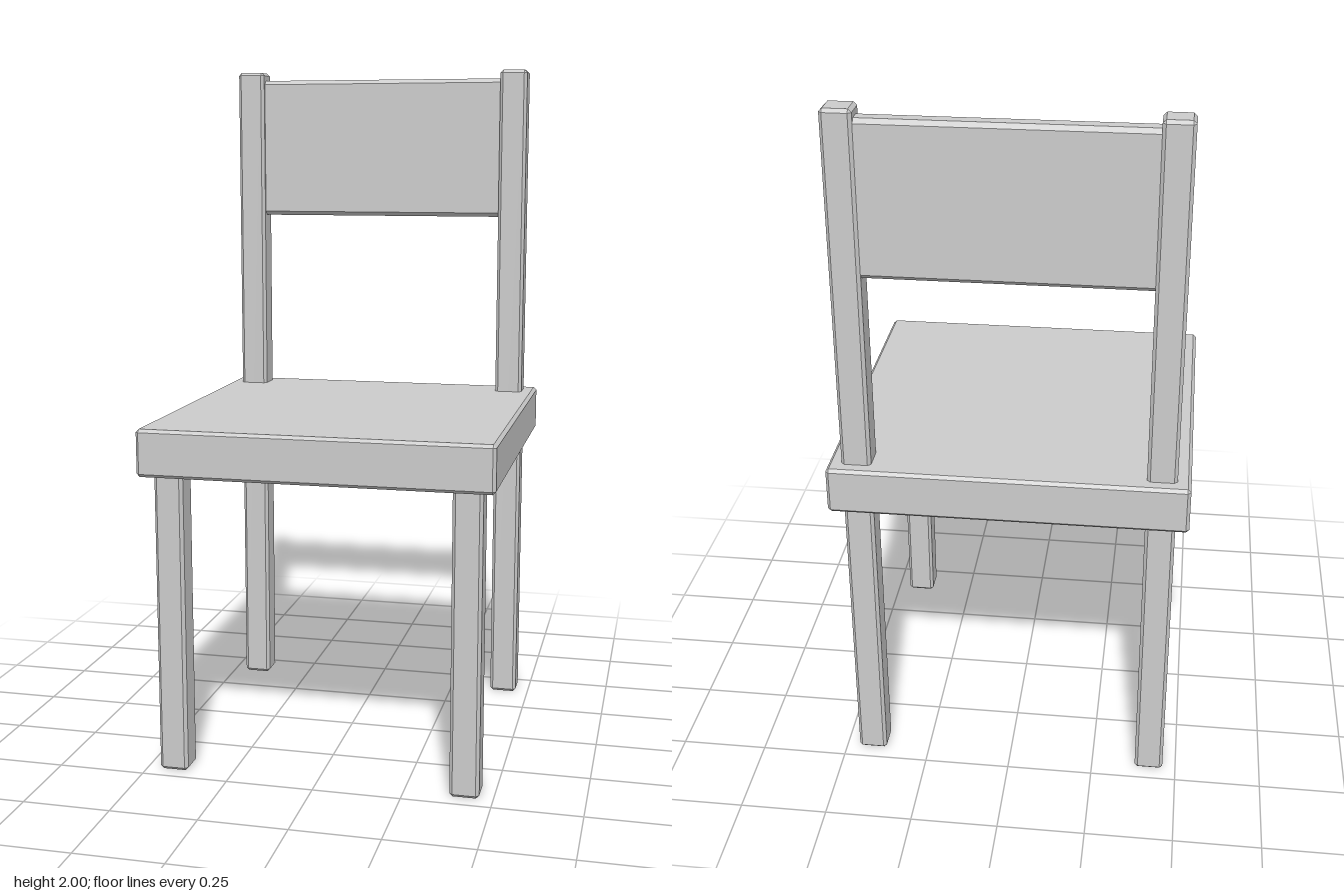
import * as THREE from 'three';
import { ConvexGeometry } from 'three/addons/geometries/ConvexGeometry.js';

const SIGNS = [-1, 1];

// Box with a flat chamfer on every edge: three points per corner
function chamferBox(w, h, d, bevel) {
  const points = [];
  for (const sx of SIGNS) for (const sy of SIGNS) for (const sz of SIGNS) {
    for (let axis = 0; axis < 3; axis++) {
      const inset = [bevel, bevel, bevel];
      inset[axis] = 0;
      points.push(new THREE.Vector3(
        sx * (w / 2 - inset[0]), sy * (h / 2 - inset[1]), sz * (d / 2 - inset[2])));
    }
  }
  return new ConvexGeometry(points);
}

export function createModel() {
  const chair = new THREE.Group();
  chair.name = 'chair';
  const material = new THREE.MeshStandardMaterial({ color: 0xcccccc, flatShading: true });

  const add = (name, [w, h, d], [x, y, z], bevel = 0.009) => {
    const mesh = new THREE.Mesh(chamferBox(w, h, d, bevel), material);
    mesh.name = name;
    mesh.position.set(x, y, z);
    chair.add(mesh);
  };

  add('seat', [0.998, 0.135, 0.998], [0, 0.9325, 0]);

  // Front legs stop inside the seat; back legs run up as the backrest posts
  const legWidth = 0.083, legOffset = 0.42;
  for (const side of SIGNS) {
    const label = side > 0 ? 'left' : 'right';
    add(`${label}FrontLeg`, [legWidth, 0.9, legWidth], [side * legOffset, 0.45, legOffset]);
    add(`${label}BackLeg`, [legWidth, 2, legWidth], [side * legOffset, 1, -legOffset]);
  }

  // Backrest panel, its ends let into the posts
  add('backrest', [0.79, 0.425, 0.058], [0, 1.7625, -0.424], 0.012);

  return chair;
}
